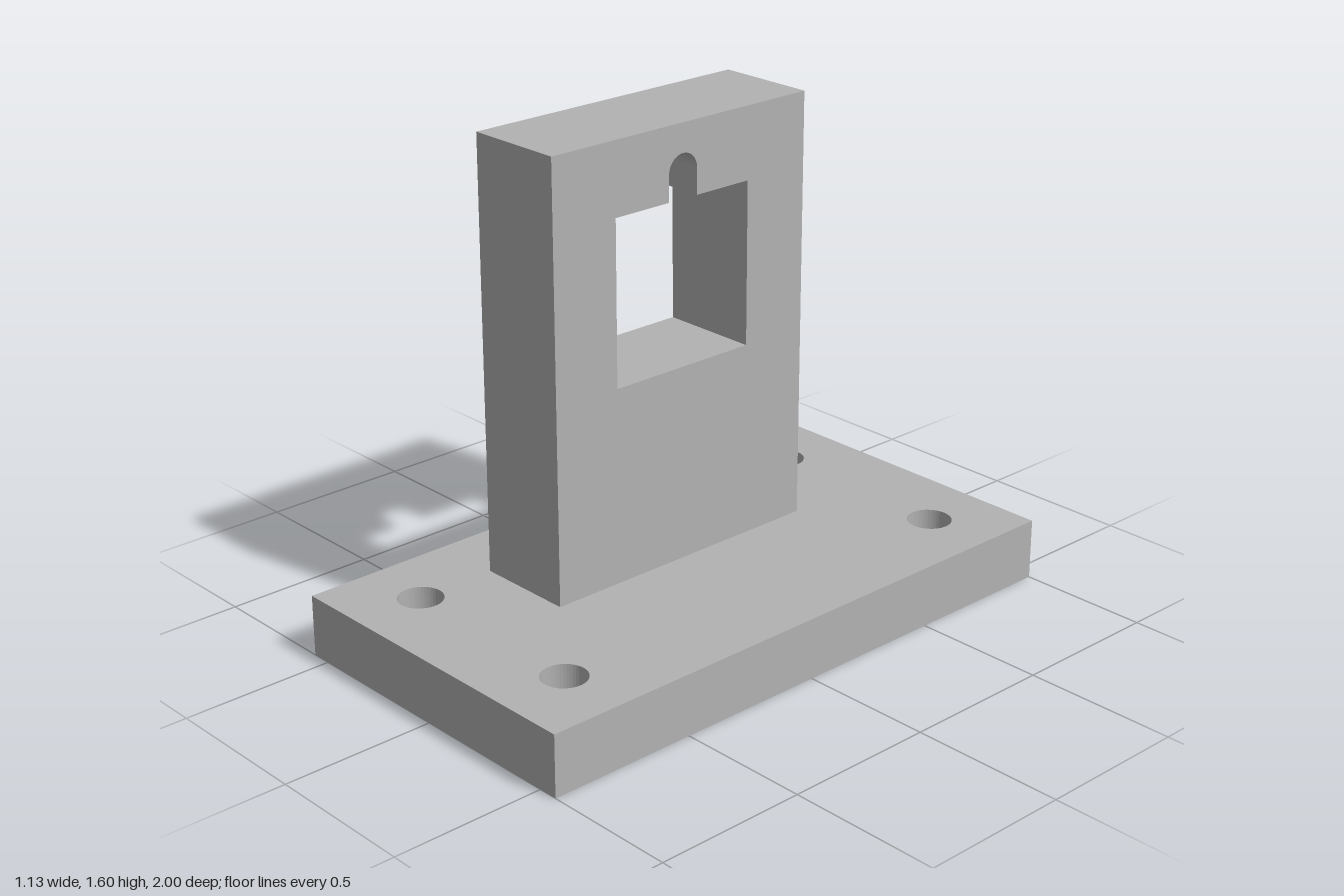
import * as THREE from 'three';

const PLATE = { width: 1.13, length: 2, height: 0.2 };
const POST = { width: 1, top: 1.6, depth: 0.333, x: -0.333 };

// Closed rectangle from corner to corner
function rectangle(x0, y0, x1, y1) {
  return new THREE.Shape()
    .moveTo(x0, y0).lineTo(x1, y0).lineTo(x1, y1).lineTo(x0, y1).closePath();
}

function extrude(shape, depth) {
  return new THREE.ExtrudeGeometry(shape, { depth, bevelEnabled: false, curveSegments: 24 });
}

// Flat plate with four bolt holes
function plateGeometry() {
  const w = PLATE.width / 2, l = PLATE.length / 2;
  const shape = rectangle(-w, -l, w, l);
  for (const x of [-0.333, 0.333]) {
    for (const z of [-0.767, 0.767]) {
      shape.holes.push(new THREE.Path().absarc(x, z, 0.072, 0, Math.PI * 2, true));
    }
  }
  return extrude(shape, PLATE.height).rotateX(-Math.PI / 2);
}

// Upright block with a square window and a round-topped notch above it
function postGeometry() {
  const h = POST.width / 2;
  const shape = rectangle(-h, PLATE.height, h, POST.top);
  const half = 0.264, bottom = 0.837, top = 1.367, r = 0.056, notchY = 1.451;
  const opening = new THREE.Path();
  opening.moveTo(-half, bottom);
  opening.lineTo(half, bottom);
  opening.lineTo(half, top);
  opening.lineTo(r, top);
  opening.lineTo(r, notchY);
  opening.absarc(0, notchY, r, 0, Math.PI, false);
  opening.lineTo(-r, top);
  opening.lineTo(-half, top);
  opening.closePath();
  shape.holes.push(opening);
  return extrude(shape, POST.depth).rotateY(Math.PI / 2).translate(POST.x, 0, 0);
}

export function createModel() {
  const grey = new THREE.MeshStandardMaterial({ color: 0xb2b2b2 });
  grey.name = 'grey metal';

  const basePlate = new THREE.Mesh(plateGeometry(), grey);
  basePlate.name = 'basePlate';

  const post = new THREE.Mesh(postGeometry(), grey);
  post.name = 'uprightPost';

  const model = new THREE.Group();
  model.name = 'mountingBracket';
  model.add(basePlate, post);
  return model;
}
